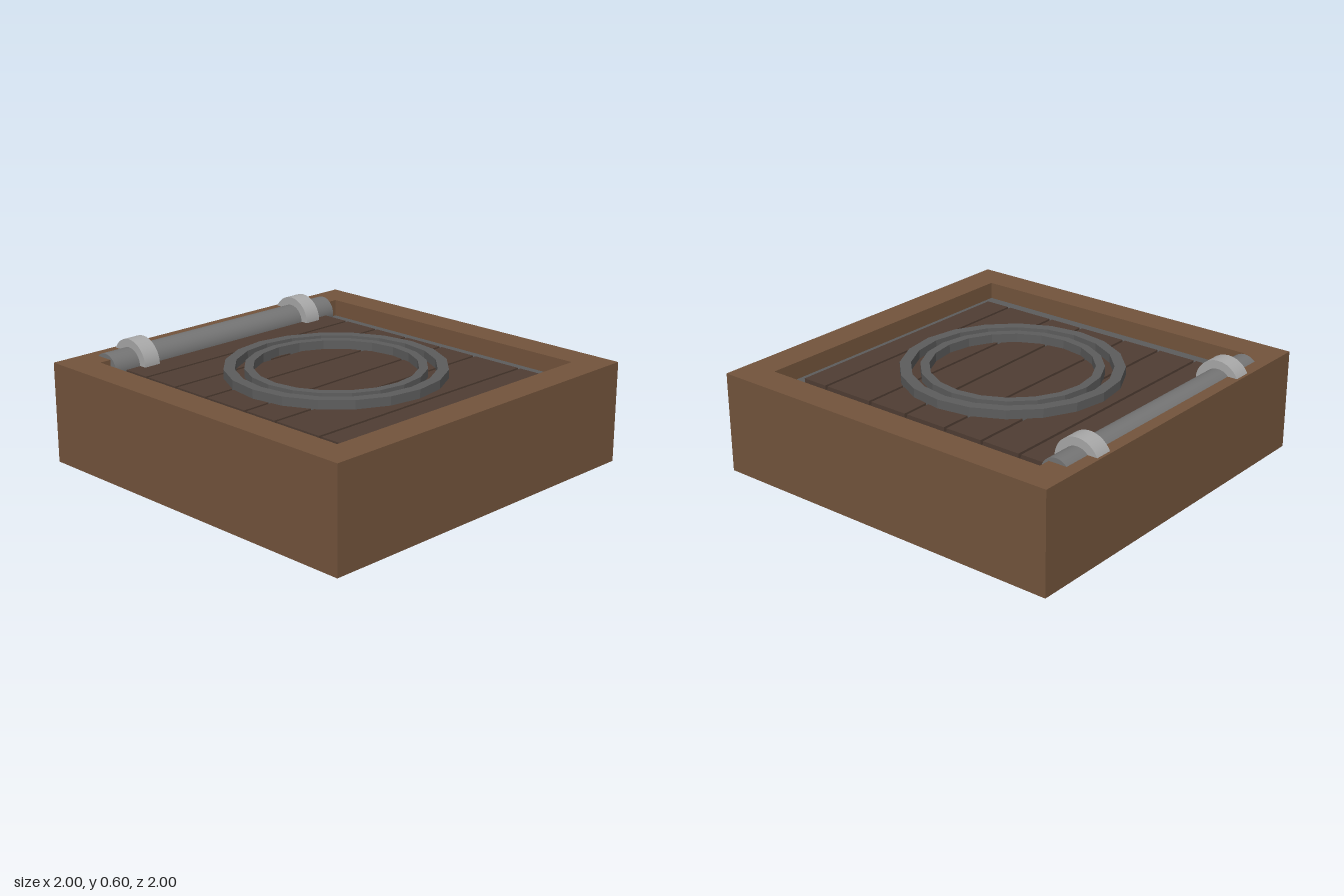
import * as THREE from 'three';

const WOOD = 0x73543c, PLANK = 0x4f3d33, GROOVE = 0x43342b, IRON = 0x5c5c5c, PIPE = 0x747474, CLAMP = 0xa8a8a8, BLACK = 0x050505;

function mat(color) {
  return new THREE.MeshStandardMaterial({ color });
}

// Closed outline in plan: each point is (x, z)
function plan(points, Type = THREE.Shape) {
  return new Type(points.map(([x, z]) => new THREE.Vector2(x, -z)));
}

const rect = (x0, x1, z) => [[x0, -z], [x1, -z], [x1, z], [x0, z]];

const circle = (r, n) => Array.from({ length: n }, (_, i) => {
  const a = (i / n) * Math.PI * 2;
  return [r * Math.cos(a), r * Math.sin(a)];
});

// Extrude a plan outline upwards from y0 to y1; the hole runs the opposite way round
function slab(name, color, y0, y1, outline, hole) {
  const shape = plan(outline);
  if (hole) shape.holes.push(plan([...hole].reverse(), THREE.Path));
  const geo = new THREE.ExtrudeGeometry(shape, { depth: y1 - y0, bevelEnabled: false });
  geo.rotateX(-Math.PI / 2).translate(0, y0, 0);
  const mesh = new THREE.Mesh(geo, mat(color));
  mesh.name = name;
  return mesh;
}

// Round bar lying along z
function bar(name, color, r, length, z) {
  const geo = new THREE.CylinderGeometry(r, r, length, 32).rotateX(Math.PI / 2);
  const mesh = new THREE.Mesh(geo, mat(color));
  mesh.name = name;
  mesh.position.set(-0.874, 0.472, z);
  return mesh;
}

export function createModel() {
  const model = new THREE.Group();
  model.name = 'trapdoor';

  // Wooden surround
  model.add(slab('woodenSurround', WOOD, 0, 0.53, rect(-1, 1, 1), rect(-0.835, 0.835, 0.835)));

  // Iron door frame, set below the planks
  model.add(slab('ironFrame', IRON, 0.12, 0.44, rect(-0.835, 0.835, 0.835), rect(-0.75, 0.754, 0.71)));

  // Planks with narrow gaps; each gap is given by its x at the back and at the front
  const gaps = [[-0.622, -0.622], [-0.398, -0.398], [-0.175, -0.175], [0.072, 0.106], [0.305, 0.312], [0.602, 0.604]];
  const edges = [[-0.795, -0.795], ...gaps, [0.762, 0.762]];
  const planks = new THREE.Group();
  planks.name = 'planks';
  const g = 0.008;
  for (let i = 0; i < edges.length - 1; i++) {
    const [b0, f0] = edges[i], [b1, f1] = edges[i + 1];
    planks.add(slab('plank', PLANK, 0.43, 0.474,
      [[b0 + g, -0.71], [b1 - g, -0.71], [f1 - g, 0.71], [f0 + g, 0.71]]));
  }
  model.add(planks);

  // Backing under the planks, and the dark underside
  model.add(slab('plankBacking', GROOVE, 0.2, 0.45, rect(-0.785, 0.752, 0.708)));
  model.add(slab('underside', BLACK, 0.145, 0.2, rect(-0.75, 0.754, 0.71)));

  // Two concentric iron rings
  model.add(slab('outerRing', IRON, 0.465, 0.52, circle(0.567, 20), circle(0.51, 20)));
  model.add(slab('innerRing', IRON, 0.465, 0.52, circle(0.463, 20), circle(0.417, 20)));

  // Hinge bar with a clamp near each end
  const hinge = new THREE.Group();
  hinge.name = 'hinge';
  hinge.add(bar('hingeBar', PIPE, 0.083, 1.545, 0));
  for (const s of [-1, 1]) hinge.add(bar('hingeClamp', CLAMP, 0.126, 0.095, s * 0.572));
  model.add(hinge);

  return model;
}
